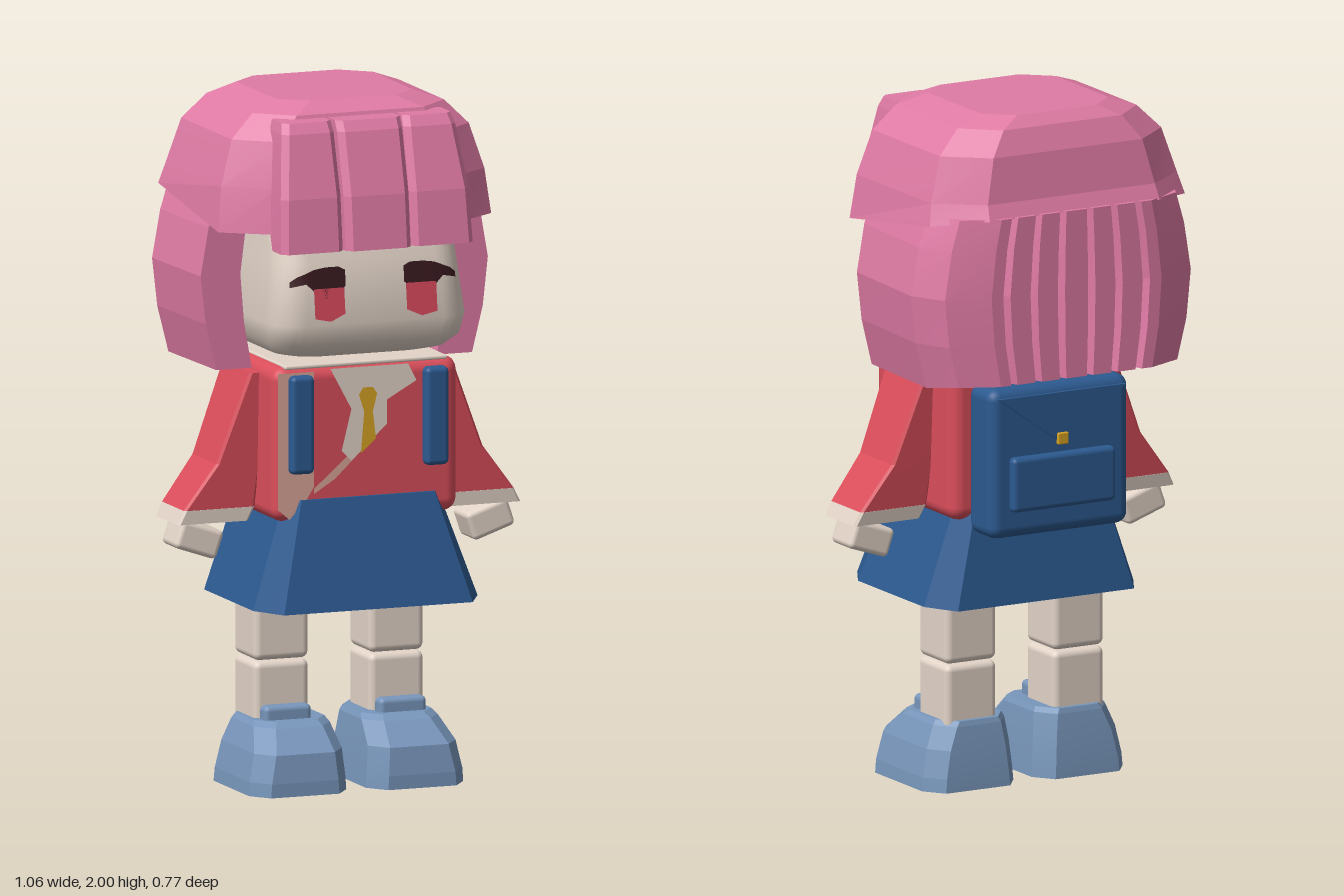
import * as THREE from 'three';
import { toCreasedNormals } from 'three/addons/utils/BufferGeometryUtils.js';
import { RoundedBoxGeometry } from 'three/addons/geometries/RoundedBoxGeometry.js';

const material = (name, color, side = THREE.FrontSide) => {
  const m = new THREE.MeshStandardMaterial({ color, side });
  m.name = name;
  return m;
};

// Rectangle with rounded (n > 1) or chamfered (n = 1) corners at height y
function ring(y, xc, hx, zf, zb, cx, cz = cx, n = 1) {
  const pts = [];
  for (let k = 0; k < 4; k++) {
    const sx = k === 0 || k === 3 ? 1 : -1;
    const v = k < 2 ? -zb - cz : -zf + cz;
    for (let j = 0; j <= n; j++) {
      const a = (k + j / n) * Math.PI / 2;
      pts.push([xc + sx * (hx - cx) + Math.cos(a) * cx, y, -(v + Math.sin(a) * cz)]);
    }
  }
  return pts;
}

// Closed solid through rings listed from bottom to top
function loft(rings, crease = 0.1) {
  const n = rings[0].length, index = [];
  for (let r = 0; r < rings.length - 1; r++) {
    for (let i = 0; i < n; i++) {
      const a = r * n + i, b = r * n + (i + 1) % n;
      index.push(a, b, b + n, a, b + n, a + n);
    }
  }
  const top = (rings.length - 1) * n;
  const outline = rings[0].map(p => new THREE.Vector2(p[0], -p[2]));
  for (const [a, b, c] of THREE.ShapeUtils.triangulateShape(outline, [])) {
    index.push(c, b, a, top + a, top + b, top + c);
  }
  const g = new THREE.BufferGeometry();
  g.setAttribute('position', new THREE.Float32BufferAttribute(rings.flat(2), 3));
  g.setIndex(index);
  return toCreasedNormals(g, crease);
}

// Front of the face at (x, y), so the eyes can follow it
function faceZ(x, y) {
  const t = (y - 1.38) / 0.18, hx = 0.302 - 0.02 * t, zf = 0.348 - 0.023 * t;
  const d = Math.max(0, Math.abs(x) - (hx - 0.09));
  return zf - 0.09 + Math.sqrt(Math.max(0, 0.0081 - d * d));
}

export function createModel() {
  const model = new THREE.Group();
  model.name = 'schoolFigure';
  const pink = material('hair pink', 0xe07ba5);
  const skin = material('skin', 0xe3d4c8);
  const red = material('jacket red', 0xdb4e5b);
  const navy = material('navy', 0x2c5a90);
  const blue = material('shoe blue', 0x7896bb);
  const gold = material('gold', 0xd6a322);
  const peach = material('peach trim', 0xd9a598);
  const dark = material('eye dark', 0x38191f, THREE.DoubleSide);
  const iris = material('iris red', 0xd2475a, THREE.DoubleSide);

  const add = (name, geometry, mat) => {
    const m = new THREE.Mesh(geometry, mat);
    m.name = name;
    model.add(m);
    return m;
  };
  const box = (name, mat, w, h, d, x, y, z, r = 0.02) => {
    const m = add(name, new RoundedBoxGeometry(w, h, d, 3, r), mat);
    m.position.set(x, y, z);
    return m;
  };
  const panel = (name, mat, pts, z) => {
    const g = new THREE.ShapeGeometry(new THREE.Shape(pts.map(p => new THREE.Vector2(...p))));
    add(name, g, mat).position.z = z;
  };
  // Strip of [x, low, high] columns lying on the face
  const facePatch = (name, mat, cols, s) => {
    const pos = [], index = [];
    cols.forEach(([x, lo, hi], i) => {
      for (const y of [lo, hi]) pos.push(s * x, y, faceZ(x, y) + 0.006);
      if (i) index.push(2 * i - 2, 2 * i, 2 * i + 1, 2 * i - 2, 2 * i + 1, 2 * i - 1);
    });
    const g = new THREE.BufferGeometry();
    g.setAttribute('position', new THREE.Float32BufferAttribute(pos, 3));
    g.setIndex(s > 0 ? index : index.reverse());
    g.computeVertexNormals();
    add(name, g, mat);
  };

  // Head and neck
  add('head', loft([
    [1.272, 0.22, 0.25], [1.285, 0.26, 0.295], [1.32, 0.29, 0.335], [1.38, 0.302, 0.348],
    [1.56, 0.282, 0.325], [1.75, 0.28, 0.25],
  ].map(([y, hx, zf]) => ring(y, 0, hx, zf, -0.26, 0.09, 0.09, 6)), 0.9), skin);
  box('neck', skin, 0.14, 0.1, 0.14, 0, 1.26, 0.04);

  // Hair cap, its lower edge rising toward the back
  const cap = [
    [1.64, 0.42, 0.285, -0.375, 0.14, 0.1], [1.77, 0.405, 0.27, -0.355, 0.13, 0.1],
    [1.9, 0.365, 0.25, -0.335, 0.12, 0.1], [1.97, 0.295, 0.225, -0.305, 0.1, 0.09],
    [2.0, 0.21, 0.17, -0.27, 0.08, 0.07],
  ].map(([y, ...r]) => ring(y, 0, ...r));
  for (const p of cap[0]) p[1] += Math.max(0, 0.1 - p[2]) * 0.18;
  add('hairCap', loft(cap), pink);

  // Side and back hair: a U in plan with grooves between the back locks
  const half = [[0.442, 0.105], [0.457, -0.23], [0.405, -0.335], [0.28, -0.385]];
  for (const x of [0.23, 0.14, 0.05]) {
    half.push([x + 0.012, -0.385], [x, -0.36], [x - 0.012, -0.385]);
  }
  const flip = pts => pts.map(([x, z]) => [-x, z]).reverse();
  const inner = [[-0.32, 0.105], [-0.31, -0.24], [-0.22, -0.31]];
  const plan = [...half, ...flip(half), ...inner, ...flip(inner)];
  add('lowerHair', loft([[1.225, 0.89], [1.36, 0.965], [1.5, 1], [1.64, 0.945], [1.73, 0.88]]
    .map(([y, s]) => plan.map(([x, z]) => [
      x * s, y + (y < 1.3 && z < -0.3 ? 0.015 : 0), z]))), pink);

  // Three fringe locks
  for (const s of [-1, 0, 1]) {
    const k = Math.abs(s);
    add('fringe', loft([
      [1.595, 0.2, 0.095, 0.382, 0.27], [1.75, 0.197, 0.092, 0.365, 0.2],
      [1.93, 0.187, 0.08, 0.316, 0.18], [1.96, 0.185, 0.075, 0.298, 0.18],
    ].map(([y, x, hx, zf, zb]) =>
      ring(y, s * x, k ? hx : 0.1, zf - 0.01 * k, zb, 0.018))), pink);
  }

  // Torso and jacket front
  box('jacket', red, 0.57, 0.45, 0.45, 0, 1.025, 0.055, 0.04);
  box('collar', skin, 0.5, 0.012, 0.4, 0, 1.249, 0.075, 0.005);
  panel('trim', peach, [[-0.275, 0.84], [-0.24, 0.81], [-0.19, 0.86], [-0.165, 0.9],
    [-0.165, 1.235], [-0.275, 1.235]], 0.282);
  panel('lapelTrim', peach, [[-0.165, 0.88], [-0.1, 0.92], [0.06, 1.07], [0.05, 1.08], [-0.165, 0.895]], 0.283);
  panel('shirt', skin, [[-0.115, 1.24], [0.125, 1.24], [0.15, 1.19], [0.06, 1.14], [0.06, 1.07],
    [-0.05, 0.97], [-0.08, 1.0], [-0.05, 1.12]], 0.284);
  panel('tie', gold, [[-0.028, 1.16], [-0.015, 1.18], [0.015, 1.18], [0.028, 1.16], [0.015, 1.11],
    [0.024, 1.03], [-0.022, 0.99], [-0.012, 1.11]], 0.287);

  // Skirt
  add('skirt', loft([
    ring(0.55, 0, 0.345, 0.367, -0.21, 0.055, 0.1), ring(0.865, 0, 0.235, 0.288, -0.17, 0.03, 0.06),
  ]), navy);

  // Backpack with pocket, pointed flap and buckle
  box('backpack', navy, 0.46, 0.44, 0.14, 0, 0.985, -0.225, 0.035);
  box('backpackPocket', navy, 0.34, 0.16, 0.05, 0, 0.925, -0.296, 0.015);
  const flap = new THREE.Shape([[-0.21, 1.18], [0, 1.03], [0.21, 1.18]].map(p => new THREE.Vector2(...p)));
  add('backpackFlap', new THREE.ExtrudeGeometry(flap, { depth: 0.012, bevelEnabled: false }), navy)
    .position.z = -0.304;
  box('buckle', gold, 0.035, 0.035, 0.014, 0, 1.045, -0.305, 0.004);

  for (const s of [1, -1]) {
    // Eyes
    facePatch('iris', iris, [[0.095, 1.41, 1.485], [0.14, 1.39, 1.485], [0.188, 1.4, 1.485]], s);
    facePatch('lash', dark, [[0.09, 1.49, 1.535], [0.11, 1.47, 1.545], [0.15, 1.455, 1.545],
      [0.185, 1.475, 1.54], [0.21, 1.5, 1.53], [0.235, 1.495, 1.52], [0.255, 1.49, 1.505]], s);

    // Flared sleeve, cuff and hand
    const sleeveRing = ([y, a, b, zf, zb]) => ring(y, s * (a + b) / 2, (b - a) / 2, zf, zb, 0.008);
    add('sleeve', loft([[0.83, 0.29, 0.508, 0.145, -0.035], [0.96, 0.275, 0.41, 0.15, -0.045],
      [1.22, 0.255, 0.312, 0.16, -0.06]].map(sleeveRing)), red);
    add('cuff', loft([[0.79, 0.31, 0.528, 0.145, -0.03], [0.83, 0.29, 0.508, 0.146, -0.036]]
      .map(sleeveRing)), skin);
    box('hand', skin, 0.135, 0.085, 0.115, s * 0.448, 0.738, 0.06, 0.015).rotation.z = s * 0.33;

    // Backpack strap
    box('strap', navy, 0.072, 0.285, 0.045, s * 0.207, 1.085, 0.287, 0.015);

    // Leg
    box('upperLeg', skin, 0.168, 0.27, 0.165, s * 0.177, 0.5, -0.012, 0.02);
    box('lowerLeg', skin, 0.168, 0.2, 0.165, s * 0.177, 0.262, -0.012, 0.02);

    // Shoe and tongue
    add('shoe', loft([
      [0, 0.18, 0.15, 0.255, -0.135], [0.04, 0.18, 0.147, 0.255, -0.133],
      [0.12, 0.175, 0.135, 0.245, -0.125], [0.185, 0.166, 0.117, 0.175, -0.115],
      [0.2, 0.164, 0.108, 0.15, -0.11],
    ].map(([y, x, hx, zf, zb]) => ring(y, s * x, hx, zf, zb, 0.045, 0.06))), blue);
    box('shoeTongue', blue, 0.145, 0.07, 0.05, s * 0.177, 0.205, 0.095, 0.015);
  }
  return model;
}
